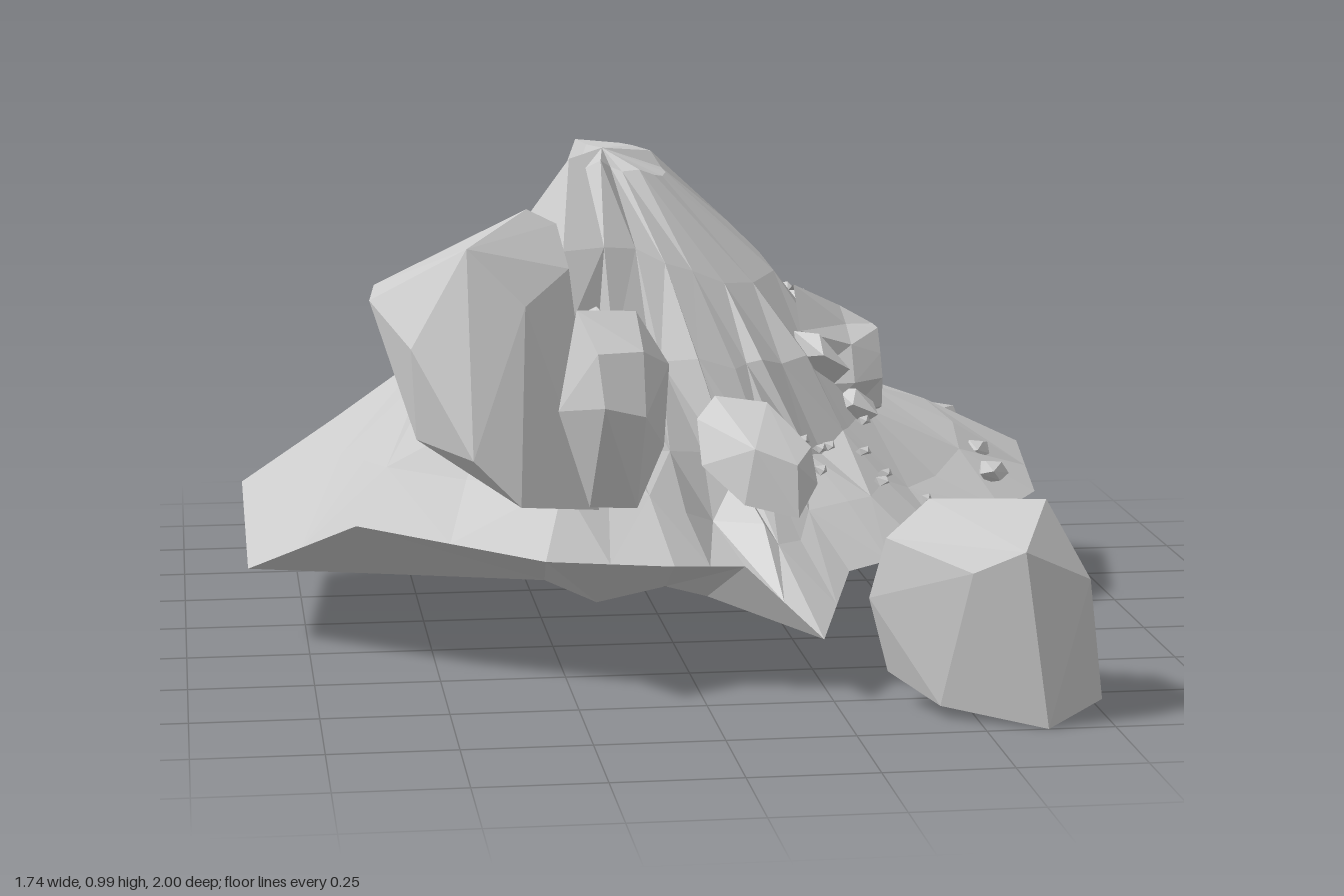
import * as THREE from 'three';
import { ConvexGeometry } from 'three/addons/geometries/ConvexGeometry.js';

const material = new THREE.MeshStandardMaterial({ color: 0xcccccc, flatShading: true, side: THREE.DoubleSide });
const vec = (p) => new THREE.Vector3(...p);

let seed = 7;
function rand() {
  seed = (seed * 16807) % 2147483647;
  return seed / 2147483647;
}
const jitter = (p, a) => p.clone().add(new THREE.Vector3(rand() - 0.5, rand() - 0.5, rand() - 0.5).multiplyScalar(2 * a));

function addMesh(group, name, geometry) {
  const mesh = new THREE.Mesh(geometry, material);
  mesh.name = name;
  group.add(mesh);
  return mesh;
}

// Each spoke runs from the rim over the slope to the shoulder; clockwise from the back
const spokes = [
  [[0, 0.2, -1], [-0.13, 0.48, -0.87], [-0.13, 0.98, -0.4]],
  [[0.19, 0.22, -0.97], [0.06, 0.62, -0.72], [0.02, 0.88, -0.46]],
  [[0.34, 0.25, -0.84], [0.25, 0.58, -0.52], [0.11, 0.87, -0.35]],
  [[0.48, 0.25, -0.76], [0.39, 0.5, -0.42], [0.19, 0.81, -0.28]],
  [[0.87, 0.28, -0.41], [0.46, 0.46, -0.28], [0.25, 0.75, -0.22]],
  [[0.83, 0.24, -0.05], [0.48, 0.43, -0.1], [0.26, 0.73, -0.08]],
  [[0.63, 0.22, 0.23], [0.41, 0.41, 0.1], [0.2, 0.72, 0.02]],
  [[0.5, 0.22, 0.4], [0.32, 0.4, 0.22], [0.13, 0.73, 0.08]],
  [[0.32, 0.21, 0.52], [0.22, 0.4, 0.32], [0.06, 0.76, 0.1]],
  [[0.23, 0.13, 0.75], [0.14, 0.4, 0.36], [0, 0.78, 0.12]],
  [[0.1, 0.24, 0.58], [0.04, 0.41, 0.38], [-0.06, 0.81, 0.11]],
  [[-0.05, 0.26, 0.65], [-0.09, 0.46, 0.42], [-0.13, 0.82, 0.15]],
  [[-0.3, 0.27, 0.62], [-0.25, 0.52, 0.43], [-0.22, 0.82, 0.2]],
  [[-0.66, 0.31, 0.43], [-0.53, 0.53, 0.34], [-0.33, 0.83, 0.15]],
  [[-0.87, 0.16, 0.13], [-0.47, 0.58, -0.1], [-0.3, 0.72, -0.08]],
  [[-0.87, 0.23, -0.42], [-0.46, 0.56, -0.19], [-0.27, 0.68, -0.21]],
].map((s) => s.map(vec));

function moundGeometry() {
  const peak = vec([-0.1, 0.99, -0.15]);
  const base = vec([0.02, 0.09, -0.12]);
  const positions = [];
  const tri = (a, b, c) => {
    if (a !== b && b !== c && a !== c) [a, b, c].forEach((p) => positions.push(p.x, p.y, p.z));
  };
  const mid = (a, b) => a.clone().lerp(b, 0.5);

  // Halve the lower grid both ways, roughening the craggy right and front sides only
  const columns = [];
  spokes.forEach((s, i) => {
    const next = spokes[(i + 1) % spokes.length];
    const rough = i > 0 && i < 13 ? 0.022 : 0.003;
    const crown = jitter(s[2].clone().lerp(peak, 0.6), 0.01);
    crown.y = Math.min(crown.y + 0.05, 0.985);
    for (const [r, m] of [s, s.map((p, k) => mid(p, next[k]))]) {
      columns.push([r, jitter(mid(r, m), rough), jitter(m, rough), jitter(mid(m, s[2]), rough), s[2], crown]);
    }
  });
  columns.forEach((a, i) => {
    const b = columns[(i + 1) % columns.length];
    for (let k = 0; k < a.length - 1; k++) {
      if ((i + k) % 2) {
        tri(a[k], a[k + 1], b[k + 1]);
        tri(a[k], b[k + 1], b[k]);
      } else {
        tri(a[k], a[k + 1], b[k]);
        tri(a[k + 1], b[k + 1], b[k]);
      }
    }
    tri(a[a.length - 1], peak, b[b.length - 1]);
  });

  // Shallow hanging underside
  const inner = spokes.map((s, i) => s[0].clone().lerp(base, i % 2 ? 0.6 : 0.42).setY(0.11));
  spokes.forEach((s, i) => {
    const j = (i + 1) % spokes.length;
    tri(s[0], spokes[j][0], inner[j]);
    tri(s[0], inner[j], inner[i]);
    tri(inner[i], inner[j], base);
  });
  const geometry = new THREE.BufferGeometry();
  geometry.setAttribute('position', new THREE.Float32BufferAttribute(positions, 3));
  geometry.computeVertexNormals();
  return geometry;
}

// Convex stone from hand-placed corners
const hull = (points) => new ConvexGeometry(points.map(vec));

// Irregular convex stone within a given half size
function stone(size, count = 14) {
  const points = [];
  for (let i = 0; i < count; i++) {
    const y = 1 - (2 * (i + 0.5)) / count;
    const r = Math.sqrt(1 - y * y);
    const a = i * 2.4 + rand() * 0.5;
    points.push(new THREE.Vector3(r * Math.cos(a), y, r * Math.sin(a)).multiply(vec(size)).multiplyScalar(0.95 + rand() * 0.2));
  }
  return new ConvexGeometry(points);
}

// Flared, ragged collar around a hollow
function collarGeometry() {
  const profile = [[0.19, 0], [0.13, 0.12], [0.095, 0.19], [0.075, 0.19], [0.07, 0.06], [0, 0.06]];
  const geometry = new THREE.LatheGeometry(profile.map((p) => new THREE.Vector2(...p)), 10);
  const pos = geometry.attributes.position;
  for (let i = 0; i < pos.count; i++) {
    const [x, z] = [pos.getX(i), pos.getZ(i)];
    const r = Math.hypot(x, z);
    const s = r > 0.08 ? 1 + 0.14 * Math.sin(3 * Math.atan2(z, x) + pos.getY(i) * 25) : 1;
    pos.setX(i, x * s);
    pos.setZ(i, z * s);
  }
  geometry.computeVertexNormals();
  return geometry;
}

export function createModel() {
  const group = new THREE.Group();
  group.name = 'rockyHill';
  addMesh(group, 'mound', moundGeometry());

  // Large boulders
  addMesh(group, 'leftBoulder', hull([
    [-0.61, 0.77, 0.27], [-0.31, 0.82, 0.23], [-0.25, 0.9, 0.36], [-0.31, 0.93, 0.36], [-0.45, 0.89, 0.62],
    [-0.24, 0.83, 0.5], [-0.63, 0.77, 0.47], [-0.56, 0.7, 0.64], [-0.34, 0.78, 0.65], [-0.45, 0.5, 0.75],
    [-0.36, 0.41, 0.76], [-0.2, 0.38, 0.66], [-0.53, 0.5, 0.5], [-0.2, 0.5, 0.5], [-0.3, 0.55, 0.3], [-0.55, 0.52, 0.62],
  ]));
  addMesh(group, 'fallenBoulder', hull([
    [0.31, 0.22, 0.79], [0.34, 0.34, 0.8], [0.42, 0.42, 0.82], [0.63, 0.43, 0.9], [0.51, 0.28, 0.62],
    [0.51, 0.12, 0.63], [0.68, 0.31, 0.72], [0.71, 0.28, 0.94], [0.75, 0.03, 0.89], [0.62, 0.005, 1],
    [0.57, 0.35, 1], [0.43, 0.03, 0.9], [0.35, 0.07, 0.78], [0.48, 0.3, 0.95], [0.68, 0.05, 0.74],
  ]));

  // Smaller boulders
  addMesh(group, 'frontBoulder', hull([
    [-0.24, 0.77, 0.64], [-0.12, 0.76, 0.6], [-0.06, 0.66, 0.64], [-0.07, 0.5, 0.64], [-0.13, 0.39, 0.7],
    [-0.22, 0.39, 0.68], [-0.28, 0.58, 0.68], [-0.2, 0.6, 0.77], [-0.12, 0.58, 0.76], [-0.21, 0.7, 0.74],
    [-0.12, 0.7, 0.72], [-0.16, 0.55, 0.57],
  ]));
  addMesh(group, 'middleBoulder', hull([
    [0.01, 0.53, 0.53], [0.05, 0.57, 0.5], [0.15, 0.56, 0.53], [0.22, 0.49, 0.64], [0.23, 0.42, 0.66],
    [0.18, 0.37, 0.74], [0.08, 0.39, 0.7], [0.01, 0.45, 0.6], [0.1, 0.5, 0.7], [0.18, 0.47, 0.72], [0.12, 0.4, 0.52],
  ]));
  const slab = addMesh(group, 'leaningSlab', stone([0.08, 0.08, 0.15]));
  slab.position.set(-0.16, 0.62, 0.4);
  slab.rotation.set(0.5, 0.3, 0);

  // Cave mouth on the right slope
  const cave = addMesh(group, 'caveMouth', collarGeometry());
  cave.rotation.z = -Math.PI / 2;
  cave.position.set(0.3, 0.5, -0.13);

  // Thin crags hugging the slope about the cave
  for (const [x, y, z, l] of [[0.33, 0.62, -0.28, 0.09], [0.34, 0.56, 0.03, 0.1], [0.33, 0.64, -0.12, 0.07], [0.43, 0.47, -0.28, 0.06], [0.42, 0.45, 0.02, 0.06]]) {
    const crag = addMesh(group, 'crag', stone([l * 0.8, 0.035, l], 10));
    crag.position.set(x, y, z);
    crag.rotation.set(0, 0.3, -0.8);
  }

  // Flat stones on the right apron
  for (const [x, y, z, l] of [[0.68, 0.35, -0.4, 0.08], [0.72, 0.315, -0.15, 0.045], [0.73, 0.295, -0.02, 0.05], [0.58, 0.38, -0.22, 0.02]]) {
    const flat = addMesh(group, 'flatStone', stone([l * 0.65, 0.025, l], 12));
    flat.position.set(x, y, z);
    flat.rotation.set(0, -0.5, -0.3);
  }

  // Loose pebbles
  for (const [x, y, z] of [[0.24, 0.46, 0.42], [0.27, 0.45, 0.46], [0.3, 0.44, 0.39], [0.26, 0.42, 0.53], [0.37, 0.43, 0.4], [0.4, 0.4, 0.48], [0.37, 0.41, 0.6], [0.46, 0.37, 0.59], [0.4, 0.46, 0.23], [0.39, 0.49, -0.54]]) {
    addMesh(group, 'pebble', stone([0.016, 0.012, 0.014], 8)).position.set(x, y, z);
  }
  return group;
}
